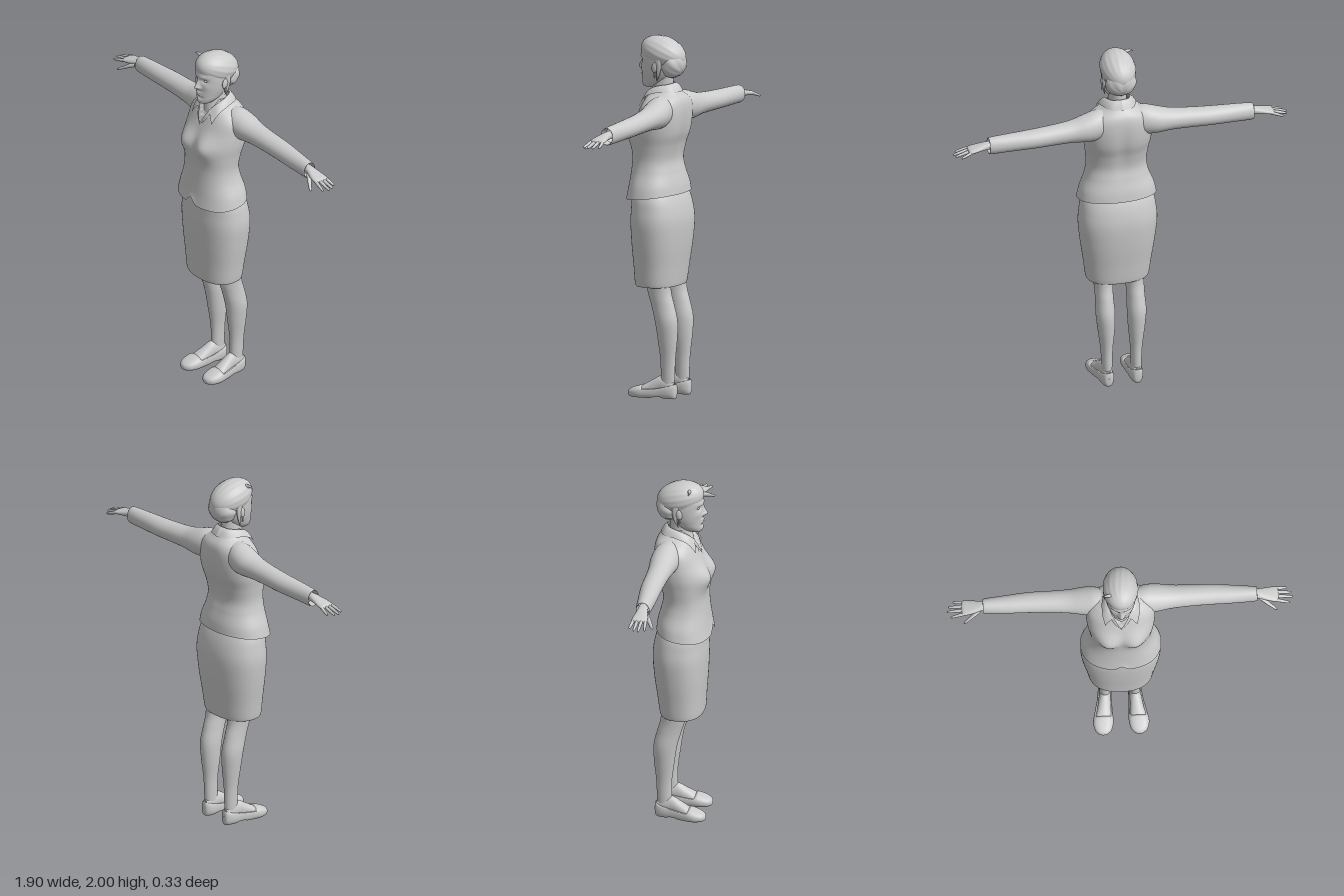
import * as THREE from 'three';

const grey = new THREE.MeshStandardMaterial({ color: 0xcccccc, side: THREE.DoubleSide });
const bump = (d, w) => Math.exp(-(d * d) / (w * w));
const V = (x, y, z) => new THREE.Vector3(x, y, z);

// Ways to lay a loft: along y (u = x, v = z), along x (u = z, v = y), along z (u = y, v = x)
const alongY = (u, a, v) => V(u, a, v);
const alongX = (u, a, v) => V(a, v, u);
const alongZ = (u, a, v) => V(v, u, a);

// Smooth skin over elliptical sections [along, centreU, centreV, radiusU, radiusV]
function loft(name, sections, { place = alongY, sides = 32, steps = 6, power = 2, deform } = {}) {
  const rows = (sections.length - 1) * steps, pos = [], index = [];
  for (let i = 0; i <= rows; i++) {
    const k = Math.min(Math.floor(i / steps), sections.length - 2), t = i / steps - k;
    const at = (j) => sections[Math.max(0, Math.min(sections.length - 1, j))];
    const s = at(k).map((p1, c) => {
      const p0 = at(k - 1)[c], p2 = at(k + 1)[c], p3 = at(k + 2)[c];
      return 0.5 * (2 * p1 + (p2 - p0) * t + (2 * p0 - 5 * p1 + 4 * p2 - p3) * t * t + (3 * p1 - p0 - 3 * p2 + p3) * t ** 3);
    });
    for (let j = 0; j < sides; j++) {
      const a = (j / sides) * Math.PI * 2, c = Math.cos(a), d = Math.sin(a);
      const round = (q) => Math.sign(q) * Math.abs(q) ** (2 / power);
      const p = place(s[1] + Math.max(s[3], 0.0005) * round(c), s[0], s[2] + Math.max(s[4], 0.0005) * round(d));
      if (deform) deform(p);
      pos.push(p.x, p.y, p.z);
      if (i < rows) {
        const m = i * sides + j, n = i * sides + ((j + 1) % sides);
        index.push(m, m + sides, n, n, m + sides, n + sides);
      }
    }
  }
  return surface(name, pos, index);
}

function surface(name, pos, index) {
  const g = new THREE.BufferGeometry();
  g.setAttribute('position', new THREE.Float32BufferAttribute(pos, 3));
  g.setIndex(index);
  g.computeVertexNormals();
  const m = new THREE.Mesh(g, grey);
  m.name = name;
  return m;
}

// Sections given as [y, halfWidth, frontZ, backZ, centreX]
const upright = (list) => list.map(([y, w, f, b, x = 0]) => [y, x, (f + b) / 2, w, (f - b) / 2]);

function ellipsoid(name, r, at, tilt = 0, deform) {
  const g = new THREE.SphereGeometry(1, 48, 32), p = g.attributes.position, v = V(0, 0, 0);
  for (let i = 0; i < p.count; i++) {
    v.fromBufferAttribute(p, i);
    if (deform) deform(v);
    p.setXYZ(i, v.x * r[0], v.y * r[1], v.z * r[2]);
  }
  g.computeVertexNormals();
  g.rotateX(tilt).translate(...at);
  const m = new THREE.Mesh(g, grey);
  m.name = name;
  return m;
}

// Copy of a left-hand part on the right, with the winding turned round
function mirrored(mesh) {
  const g = mesh.geometry.clone().scale(-1, 1, 1), a = g.index.array;
  for (let i = 0; i < a.length; i += 3) [a[i], a[i + 1]] = [a[i + 1], a[i]];
  const m = new THREE.Mesh(g, grey);
  m.name = mesh.name.replace('left', 'right');
  return m;
}

// Ribbon between an inner and an outer edge
function ribbon(name, inner, outer, n = 24, m = 5) {
  const a = new THREE.CatmullRomCurve3(inner), b = new THREE.CatmullRomCurve3(outer), pos = [], index = [];
  for (let i = 0; i <= n; i++) for (let j = 0; j <= m; j++) {
    const p = a.getPoint(i / n).lerp(b.getPoint(i / n), j / m), lift = 0.008 * Math.sin((j / m) * Math.PI);
    pos.push(p.x, p.y + lift, p.z);
    if (i < n && j < m) {
      const k = i * (m + 1) + j;
      index.push(k, k + 1, k + m + 1, k + 1, k + m + 2, k + m + 1);
    }
  }
  return surface(name, pos, index);
}

export function createModel() {
  const model = new THREE.Group();
  model.name = 'woman in jacket and skirt';
  const both = (mesh) => model.add(mesh, mirrored(mesh));

  // Jacket: bust, hollow neckline, hem raised at the back and notched in front
  model.add(loft('jacket', upright([
    [1.105, 0.222, 0.163, -0.145], [1.17, 0.208, 0.152, -0.138], [1.25, 0.18, 0.143, -0.122], [1.32, 0.168, 0.138, -0.11],
    [1.4, 0.175, 0.135, -0.125], [1.47, 0.186, 0.128, -0.148], [1.54, 0.19, 0.108, -0.158], [1.61, 0.185, 0.083, -0.158],
    [1.655, 0.15, 0.063, -0.148], [1.69, 0.092, 0.045, -0.122], [1.725, 0.058, 0.03, -0.09],
  ]), { sides: 80, steps: 8, power: 2.25, deform: (p) => {
    if (p.z > 0) {
      p.z += 0.04 * bump(Math.abs(p.x) - 0.08, 0.068) * bump(p.y - 1.465, 0.07);
      if (p.y > 1.59 && Math.abs(p.x) < (p.y - 1.59) * 0.55) p.z -= 0.012;
    } else p.z += 0.01 * bump(p.x, 0.04) * bump(p.y - 1.45, 0.15);
    const low = Math.max(0, (1.25 - p.y) / 0.145);
    p.y += low * 0.03 * THREE.MathUtils.clamp((0.12 - p.z) / 0.25, 0, 1);
    if (p.z > 0) p.y += low ** 3 * 0.045 * Math.max(0, 1 - Math.abs(p.x) / 0.042);
  } }));

  // Skirt
  model.add(loft('skirt', upright([
    [1.2, 0.16, 0.11, -0.1], [1.12, 0.2, 0.128, -0.137], [1.05, 0.214, 0.132, -0.157], [0.97, 0.22, 0.135, -0.165],
    [0.85, 0.208, 0.131, -0.157], [0.73, 0.19, 0.123, -0.141], [0.63, 0.176, 0.117, -0.128], [0.64, 0.168, 0.108, -0.12],
    [0.75, 0.16, 0.09, -0.11],
  ].reverse()), { sides: 56, power: 2.3 }));

  // Sleeves, turned in at the cuff
  both(loft('left sleeve', [
    [0.08, -0.06, 1.6, 0.07, 0.08], [0.14, -0.067, 1.597, 0.078, 0.085], [0.2, -0.073, 1.59, 0.077, 0.077], [0.28, -0.077, 1.583, 0.066, 0.062],
    [0.38, -0.081, 1.578, 0.06, 0.056], [0.5, -0.084, 1.573, 0.057, 0.053], [0.62, -0.081, 1.568, 0.05, 0.051],
    [0.74, -0.079, 1.563, 0.04, 0.049], [0.745, -0.079, 1.563, 0.034, 0.042], [0.71, -0.079, 1.563, 0.03, 0.036],
  ], { place: alongX }));

  // Hands: palm, four fingers, thumb
  both(loft('left hand', [
    [0.68, -0.079, 1.567, 0.025, 0.022], [0.75, -0.079, 1.567, 0.027, 0.021], [0.79, -0.077, 1.562, 0.034, 0.018],
    [0.83, -0.076, 1.555, 0.042, 0.015], [0.862, -0.077, 1.55, 0.04, 0.011], [0.872, -0.077, 1.548, 0.001, 0.001],
  ], { place: alongX, sides: 24, power: 2.3 }));
  const fingers = [[-0.044, -0.033, 0.932], [-0.064, -0.066, 0.95], [-0.086, -0.092, 0.943], [-0.107, -0.121, 0.917]];
  fingers.forEach(([z0, z1, tip], i) => {
    const part = (t, r) => [0.84 + (tip - 0.84) * t, z0 + (z1 - z0) * t, 1.553 - 0.022 * t - 0.004 * t * t, r, r];
    both(loft('left finger ' + (i + 1),
      [part(0, 0.009), part(0.35, 0.0095), part(0.7, 0.008), part(0.92, 0.006), part(1, 0.0005)],
      { place: alongX, sides: 10, steps: 3 }));
  });
  both(loft('left thumb', [
    [0.765, -0.06, 1.556, 0.014, 0.014], [0.795, -0.043, 1.543, 0.016, 0.014], [0.825, -0.023, 1.526, 0.012, 0.01],
    [0.85, -0.008, 1.512, 0.009, 0.008], [0.861, -0.001, 1.506, 0.0005, 0.0005],
  ], { place: alongX, sides: 12, steps: 4 }));

  // Legs
  both(loft('left leg', upright([
    [0.05, 0.028, -0.05, -0.13, 0.083], [0.12, 0.03, -0.052, -0.134, 0.083], [0.22, 0.034, -0.05, -0.138, 0.084],
    [0.33, 0.046, -0.036, -0.149, 0.086], [0.43, 0.053, -0.021, -0.152, 0.089], [0.52, 0.05, 0.003, -0.132, 0.089],
    [0.6, 0.052, 0.027, -0.112, 0.089], [0.72, 0.065, 0.05, -0.11, 0.088], [0.85, 0.075, 0.06, -0.11, 0.087],
  ]), { sides: 28 }));

  // Feet inside low-cut flat shoes
  both(loft('left foot', [
    [-0.135, 0.07, 0.083, 0.02, 0.02], [-0.1, 0.07, 0.083, 0.045, 0.03], [-0.05, 0.072, 0.085, 0.052, 0.033],
    [0, 0.055, 0.09, 0.042, 0.038], [0.05, 0.04, 0.096, 0.028, 0.042], [0.1, 0.03, 0.098, 0.01, 0.03],
  ], { place: alongZ, sides: 24 }));
  both(loft('left shoe', [
    [-0.146, 0.05, 0.083, 0.001, 0.001], [-0.14, 0.045, 0.083, 0.042, 0.022], [-0.11, 0.042, 0.083, 0.048, 0.036], [-0.05, 0.038, 0.087, 0.048, 0.041],
    [0.01, 0.034, 0.093, 0.045, 0.049], [0.07, 0.028, 0.098, 0.037, 0.056], [0.115, 0.023, 0.099, 0.026, 0.045],
    [0.137, 0.02, 0.099, 0.015, 0.022], [0.142, 0.018, 0.099, 0.001, 0.001],
  ], { place: alongZ, sides: 36, power: 2.4, deform: (p) => {
    const rim = p.z > 0.05 ? 0.07 : 0.048 + 0.034 * Math.min(1, ((0.05 - p.z) / 0.19) ** 2);
    p.y = THREE.MathUtils.clamp(p.y, 0.012 * bump(p.z + 0.045, 0.03), rim);
  } }));

  // Neck and collar
  model.add(loft('neck', upright([
    [1.6, 0.08, 0.06, -0.09], [1.66, 0.062, 0.055, -0.085], [1.71, 0.051, 0.046, -0.078],
    [1.76, 0.049, 0.045, -0.078], [1.82, 0.052, 0.04, -0.08],
  ])));
  both(ribbon('left collar',
    [V(0, 1.745, -0.09), V(0.045, 1.74, -0.073), V(0.067, 1.73, -0.02), V(0.062, 1.71, 0.03), V(0.04, 1.675, 0.066)],
    [V(0, 1.697, -0.128), V(0.065, 1.697, -0.105), V(0.1, 1.697, -0.03), V(0.102, 1.67, 0.04), V(0.088, 1.612, 0.086)]));
  both(ribbon('left lapel edge',
    [V(0.04, 1.675, 0.066), V(0.022, 1.632, 0.085), V(0, 1.588, 0.1)],
    [V(0.058, 1.66, 0.064), V(0.036, 1.62, 0.085), V(0, 1.577, 0.102)], 10, 2));

  // Head with modelled brow, eye sockets, nose, lips and chin
  model.add(loft('head', upright([
    [1.71, 0.008, 0.085, 0.05], [1.716, 0.034, 0.1, 0.01], [1.74, 0.054, 0.105, -0.035], [1.77, 0.066, 0.105, -0.065],
    [1.8, 0.075, 0.106, -0.085], [1.84, 0.082, 0.106, -0.1], [1.88, 0.085, 0.108, -0.11], [1.92, 0.084, 0.103, -0.11],
    [1.96, 0.065, 0.075, -0.09], [1.985, 0.01, 0.01, -0.03],
  ]), { sides: 96, steps: 9, power: 2.1, deform: (p) => {
    if (p.z < 0.02) return;
    const x = Math.abs(p.x), y = p.y;
    const slope = y > 1.82 ? bump(y - 1.82, 0.034) : bump(y - 1.82, 0.011);
    p.z += 0.028 * slope * bump(x, 0.009 + 0.006 * bump(y - 1.815, 0.015))
      + 0.006 * bump(x - 0.014, 0.007) * bump(y - 1.816, 0.009)
      - 0.014 * bump(x - 0.034, 0.017) * bump(y - 1.862, 0.013)
      + 0.005 * bump(x - 0.03, 0.03) * bump(y - 1.886, 0.01)
      + 0.008 * bump(x, 0.021) * (bump(y - 1.784, 0.006) + bump(y - 1.771, 0.006))
      - 0.006 * bump(x, 0.025) * bump(y - 1.754, 0.008)
      + 0.004 * bump(x, 0.02) * bump(y - 1.732, 0.013)
      + 0.004 * bump(x - 0.05, 0.018) * bump(y - 1.825, 0.02);
  } }));
  both(ellipsoid('left eye', [0.014, 0.008, 0.009], [0.034, 1.861, 0.083]));
  both(ellipsoid('left ear', [0.009, 0.03, 0.018], [0.085, 1.835, -0.012], -0.2));
  both(ellipsoid('left earring', [0.005, 0.014, 0.005], [0.086, 1.792, -0.01]));

  // Hair swept back into a gathered roll
  const strands = (v) => {
    const a = Math.atan2(v.x, v.y);
    v.multiplyScalar(1 + 0.012 * Math.sin(a * 17 + v.z * 2) * (1 - v.z * v.z));
  };
  model.add(ellipsoid('swept hair', [0.097, 0.088, 0.134], [0, 1.907, -0.02], -0.3, strands));
  model.add(ellipsoid('hair roll', [0.086, 0.08, 0.068], [0, 1.85, -0.083], -0.25, (v) => {
    v.multiplyScalar(1 + 0.018 * Math.sin(Math.atan2(v.x, v.y + 0.4) * 9 + v.z * 3) - 0.05 * bump(v.x, 0.1) * Math.max(0, -v.z));
  }));
  model.add(loft('loose tuft', [
    [-0.105, 0.045, 1.966, 0.001, 0.001], [-0.085, 0.045, 1.972, 0.006, 0.008], [-0.05, 0.04, 1.965, 0.012, 0.014],
  ], { place: alongX, sides: 10 }));
  both(loft('left loose lock', [
    [1.755, 0.074, -0.018, 0.001, 0.001], [1.79, 0.081, -0.03, 0.005, 0.008], [1.84, 0.083, -0.035, 0.009, 0.016], [1.88, 0.085, -0.03, 0.008, 0.02],
  ], { sides: 10 }));

  return model;
}
